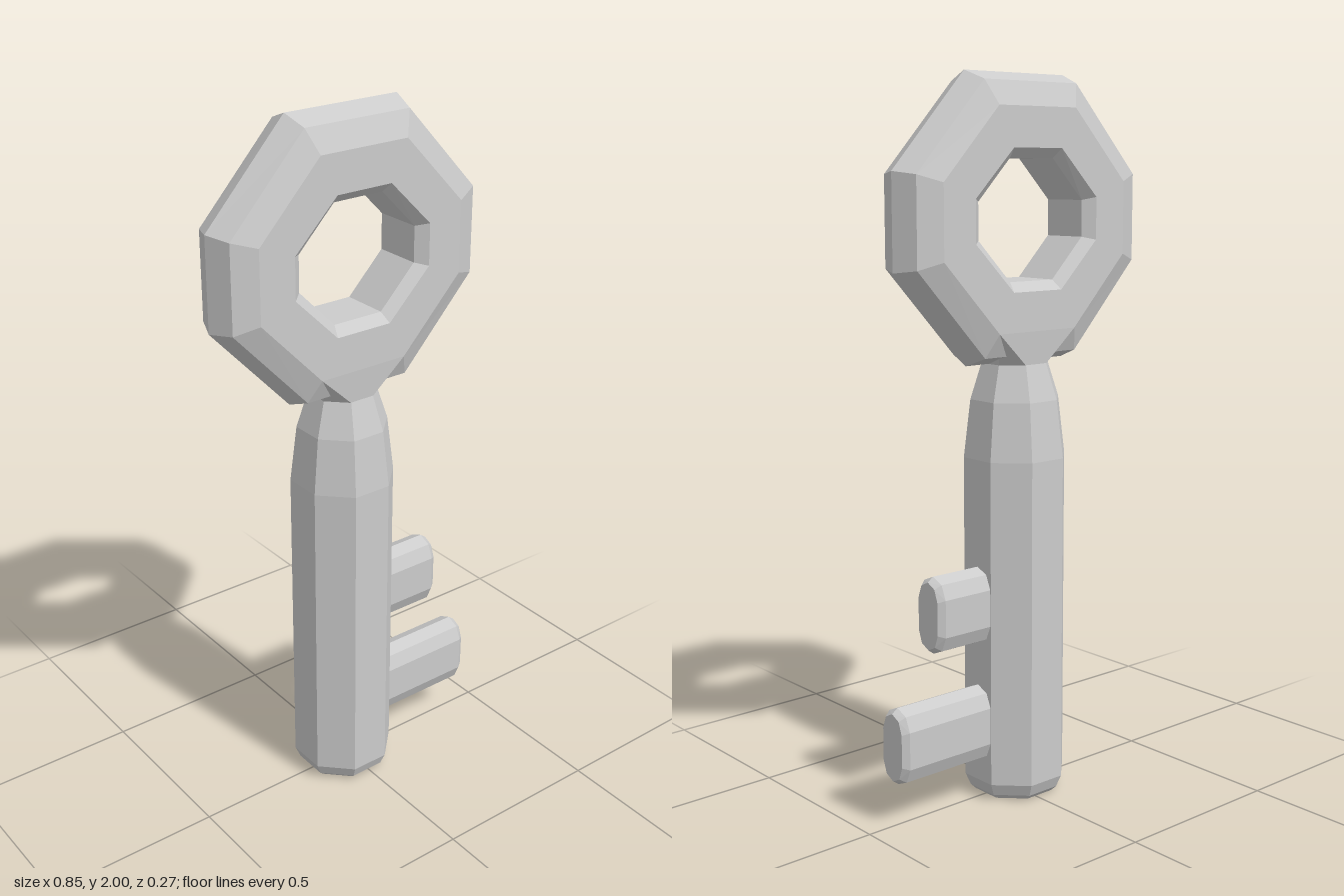
import * as THREE from 'three';
import { ConvexGeometry } from 'three/addons/geometries/ConvexGeometry.js';

const AXIS_X = -0.015; // the shaft and bow share this axis
const BOW_Y = 1.615;

export function createModel() {
  const group = new THREE.Group();
  group.name = 'key';
  const material = new THREE.MeshStandardMaterial({ color: 0xcccccc, flatShading: true });

  const add = (name, geometry, x, y) => {
    const flat = geometry.index ? geometry.toNonIndexed() : geometry;
    flat.computeVertexNormals();
    const mesh = new THREE.Mesh(flat, material);
    mesh.name = name;
    mesh.position.set(x, y, 0);
    group.add(mesh);
  };

  // Shaft: eight flat sides, profile given as [distance to flat, height]
  const profile = [[0, 0], [0.107, 0], [0.122, 0.015], [0.136, 0.05], [0.136, 0.97],
    [0.118, 1.13], [0.088, 1.23], [0, 1.23]]
    .map(([r, y]) => new THREE.Vector2(r / Math.cos(Math.PI / 8), y));
  add('shaft', new THREE.LatheGeometry(profile, 8, Math.PI / 8), AXIS_X, 0);

  // Bow: octagonal ring with a bevelled section
  add('bow', bowGeometry(), AXIS_X, BOW_Y);

  // Neck: wedge joining the faces of the bow to the top of the shaft
  const neck = [];
  for (const sx of [-1, 1]) {
    for (const sz of [-1, 1]) {
      neck.push(
        new THREE.Vector3(sx * 0.135, 1.32, sz * 0.095),
        new THREE.Vector3(sx * 0.036, 1.228, sz * 0.088),
        new THREE.Vector3(sx * 0.088, 1.228, sz * 0.036));
    }
  }
  add('neck', new ConvexGeometry(neck), AXIS_X, 0);

  // Bits: two teeth on the left side
  add('upperBit', bitGeometry(0.295), 0, 0.563);
  add('lowerBit', bitGeometry(0.42), 0, 0.223);
  return group;
}

// Ring swept through levels of [side x, top y, half top edge, half side edge, z]
function bowGeometry() {
  const front = [
    [0.385, 0.36, 0.162, 0.12, 0.067],
    [0.32, 0.295, 0.135, 0.1, 0.095],
    [0.215, 0.188, 0.085, 0.058, 0.095],
    [0.185, 0.162, 0.076, 0.05, 0.068],
  ];
  const back = front.map(([a, b, c, d, z]) => [a, b, c, d, -z]).reverse();
  const levels = [[0.412, 0.385, 0.174, 0.128, 0], ...front, ...back];

  const positions = [];
  const index = [];
  for (const [a, b, c, d, z] of levels) {
    const corners = [[a, d], [c, b], [-c, b], [-a, d], [-a, -d], [-c, -b], [c, -b], [a, -d]];
    for (const [x, y] of corners) positions.push(x, y, z);
  }
  const n = levels.length;
  for (let i = 0; i < n; i++) {
    for (let j = 0; j < 8; j++) {
      const k = (j + 1) % 8;
      const p = i * 8;
      const q = ((i + 1) % n) * 8;
      index.push(p + j, p + k, q + j, p + k, q + k, q + j);
    }
  }
  const geometry = new THREE.BufferGeometry();
  geometry.setAttribute('position', new THREE.Float32BufferAttribute(positions, 3));
  geometry.setIndex(index);
  return geometry;
}

// Tooth with a ten-sided section and a bevelled end
function bitGeometry(endX) {
  const half = [[0.108, 0], [0.092, 0.037], [0.052, 0.054], [-0.052, 0.054], [-0.092, 0.037], [-0.108, 0]];
  const points = [];
  for (const [x, inset] of [[0.05, 0], [endX - 0.018, 0], [endX, 0.013]]) {
    for (const [y, z] of half) {
      const yy = y * (1 - inset / 0.108);
      const zz = z * (1 - inset / 0.054);
      points.push(new THREE.Vector3(x, yy, zz));
      if (z > 0) points.push(new THREE.Vector3(x, yy, -zz));
    }
  }
  return new ConvexGeometry(points);
}
